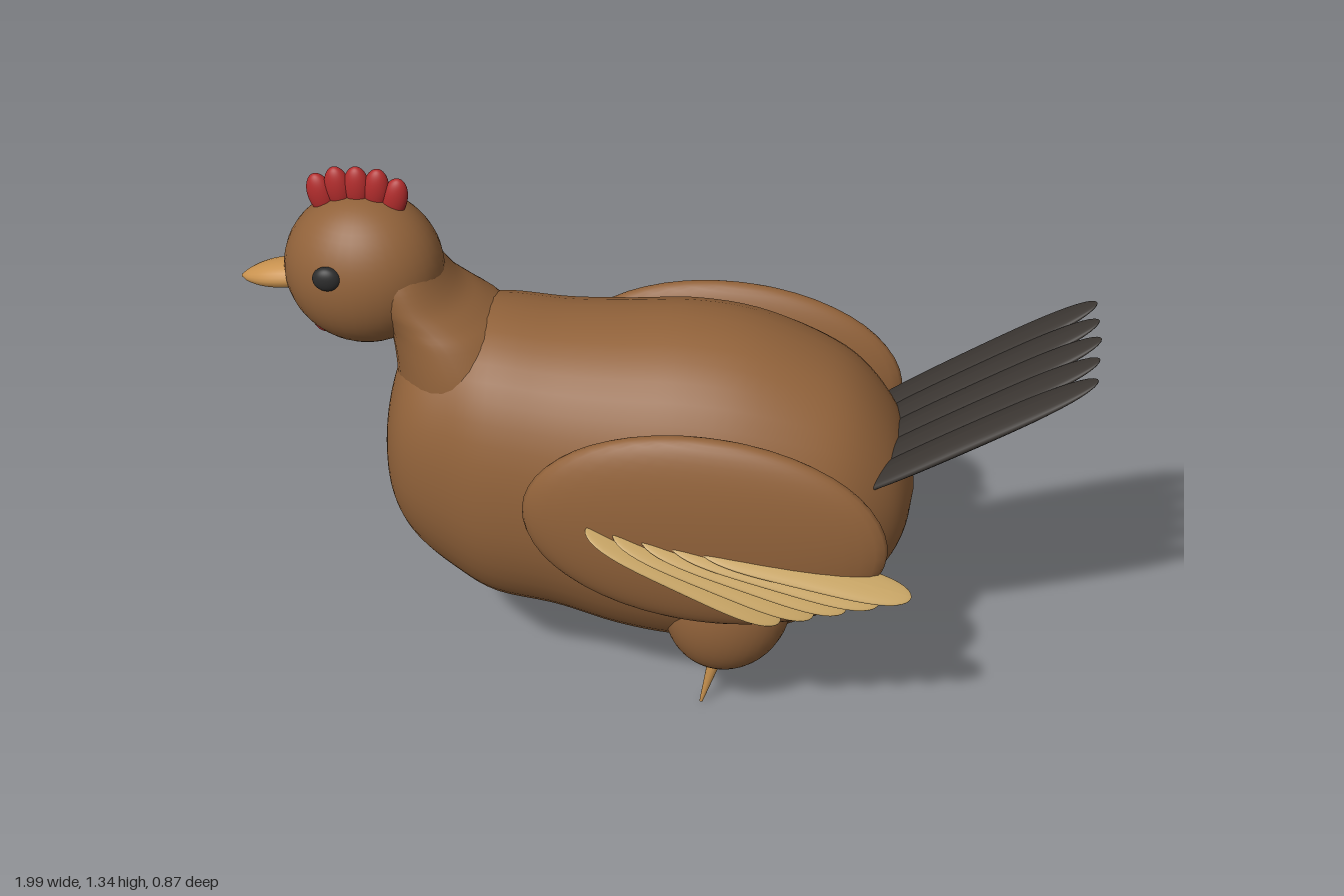
import * as THREE from 'three';

const mat = (name, color, side = THREE.FrontSide) => {
  const m = new THREE.MeshStandardMaterial({ color, side });
  m.name = name;
  return m;
};

// Closed skin through oval rings; place(axis, along, across) maps to a point.
// rows: [position, low edge, high edge, half width]
function loft(rows, place, steps, sides, power) {
  const low = new THREE.CatmullRomCurve3(rows.map(r => new THREE.Vector3(r[0], r[1], r[3])), false, 'catmullrom');
  const high = new THREE.CatmullRomCurve3(rows.map(r => new THREE.Vector3(r[0], r[2], r[3])), false, 'catmullrom');
  const pos = [], idx = [];
  const bend = v => Math.sign(v) * Math.pow(Math.abs(v), 2 / power);
  for (let i = 0; i <= steps; i++) {
    const a = low.getPoint(i / steps), b = high.getPoint(i / steps);
    for (let j = 0; j < sides; j++) {
      const t = (j / sides) * Math.PI * 2;
      pos.push(...place(a.x, (a.y + b.y) / 2 + bend(Math.cos(t)) * (b.y - a.y) / 2, bend(Math.sin(t)) * a.z));
      if (i < steps) {
        const p = i * sides + j, q = i * sides + (j + 1) % sides;
        idx.push(p, q, p + sides, q, q + sides, p + sides);
      }
    }
  }
  const g = new THREE.BufferGeometry();
  g.setAttribute('position', new THREE.Float32BufferAttribute(pos, 3));
  g.setIndex(idx);
  g.computeVertexNormals();
  return g;
}

// Long flat feather along x: blunt outline, thin lens in profile.
function featherGeometry(length, thick, width) {
  const g = new THREE.SphereGeometry(1, 20, 24);
  g.rotateZ(-Math.PI / 2);
  const p = g.attributes.position;
  for (let i = 0; i < p.count; i++) {
    const x = p.getX(i);
    const blunt = Math.sqrt(1 + x * x);
    p.setXYZ(i, x * length, p.getY(i) * thick, p.getZ(i) * blunt * width);
  }
  g.computeVertexNormals();
  return g;
}

export function createModel() {
  const model = new THREE.Group();
  model.name = 'hen';
  const brown = mat('plumage brown', 0x91623a);
  const tan = mat('feather tan', 0xc8a565);
  const horn = mat('beak and leg ochre', 0xc8924f);
  const red = mat('comb red', 0xb02c2c);
  const charcoal = mat('tail charcoal', 0x3b3632);
  const black = mat('eye black', 0x2c2c2c);
  const ball = new THREE.SphereGeometry(1, 36, 26);

  const add = (name, geo, material, at = [0, 0, 0], rot = [0, 0, 0], scale = [1, 1, 1]) => {
    const m = new THREE.Mesh(geo, material);
    m.name = name;
    m.position.set(...at);
    m.rotation.set(...rot);
    m.scale.set(...scale);
    model.add(m);
    return m;
  };

  // Body from breast (-x) to rump (+x)
  add('body', loft([
    [-0.672, 0.6, 0.62, 0.005], [-0.66, 0.5, 0.74, 0.1], [-0.63, 0.42, 0.85, 0.17],
    [-0.58, 0.35, 0.93, 0.215], [-0.5, 0.285, 0.975, 0.25], [-0.4, 0.232, 0.995, 0.285],
    [-0.25, 0.21, 0.985, 0.3], [-0.1, 0.168, 0.99, 0.315], [0.05, 0.15, 1.0, 0.325],
    [0.2, 0.165, 0.982, 0.32], [0.35, 0.225, 0.925, 0.295], [0.45, 0.295, 0.86, 0.255],
    [0.53, 0.385, 0.76, 0.185], [0.57, 0.47, 0.66, 0.11], [0.585, 0.555, 0.575, 0.005],
  ], (x, y, z) => [x, y, z], 64, 44, 2.15), brown);

  // Neck rising into the head
  add('neck', loft([
    [0.78, -0.64, -0.26, 0.2], [0.88, -0.64, -0.31, 0.19], [0.96, -0.65, -0.37, 0.17],
    [1.0, -0.665, -0.425, 0.155], [1.04, -0.68, -0.485, 0.145], [1.1, -0.7, -0.53, 0.13],
    [1.15, -0.72, -0.55, 0.1],
  ], (y, x, z) => [x, y, -z], 24, 36, 2), brown);
  add('head', ball, brown, [-0.707, 1.085, 0], [0, 0, 0], [0.186, 0.186, 0.157]);

  // Beak, slightly drooping toward the tip
  add('beak', loft([
    [-1.0, 1.034, 1.04, 0.003], [-0.98, 1.025, 1.056, 0.022], [-0.94, 1.02, 1.075, 0.042],
    [-0.89, 1.022, 1.086, 0.05], [-0.84, 1.03, 1.085, 0.045],
  ], (x, y, z) => [x, y, z], 16, 20, 2), horn);

  // Comb lobes and wattle
  [[-0.798, 1.268], [-0.757, 1.287], [-0.713, 1.29], [-0.668, 1.287], [-0.627, 1.266]].forEach(([x, y], i) =>
    add('combLobe' + (i + 1), ball, red, [x, y, 0], [0, 0, (2 - i) * 0.12], [0.03, 0.053, 0.021]));
  add('wattle', ball, red, [-0.81, 0.94, 0], [0, 0, 0.1], [0.032, 0.042, 0.02]);

  // Tail fan, rising to the rear
  const tailFeather = featherGeometry(0.34, 0.018, 0.05);
  for (let i = -2; i <= 2; i++)
    add('tailFeather' + (i + 3), tailFeather, charcoal,
      [0.705 - Math.abs(i) * 0.004, 0.823 - Math.abs(i) * 0.003, i * 0.079], [0, -i * 0.012, 0.575]);

  // Paired parts
  const wingFeather = featherGeometry(0.25, 0.012, 0.048);
  const legGeo = new THREE.CylinderGeometry(0.026, 0.004, 0.24, 16);
  for (const s of [1, -1]) {
    const side = s > 0 ? 'left' : 'right';
    add(side + 'Eye', ball, black, [-0.762, 1.13, s * 0.144], [0, 0, 0], [0.033, 0.03, 0.02]);
    add(side + 'Wing', ball, brown, [0.12, 0.637, s * 0.336], [0, -s * 0.015, -0.07], [0.42, 0.255, 0.071]);
    add(side + 'Thigh', ball, brown, [0.165, 0.325, s * 0.195], [0, 0, -0.25], [0.15, 0.183, 0.112]);
    add(side + 'Leg', legGeo, horn, [0.13, 0.122, s * 0.178], [0, 0, -0.24]);
    // Flight feathers fanned over the outer face of the wing
    for (let i = 0; i < 5; i++) {
      const t = i / 4;
      const f = add(side + 'WingFeather' + (i + 1), wingFeather, tan,
        [0.08 + 0.275 * t, 0.55 + 0.03 * t, s * (0.392 - 0.008 * t)],
        [s * 0.35, 0, -0.46 + 0.25 * t]);
      f.rotation.order = 'ZYX';
    }
  }
  return model;
}
